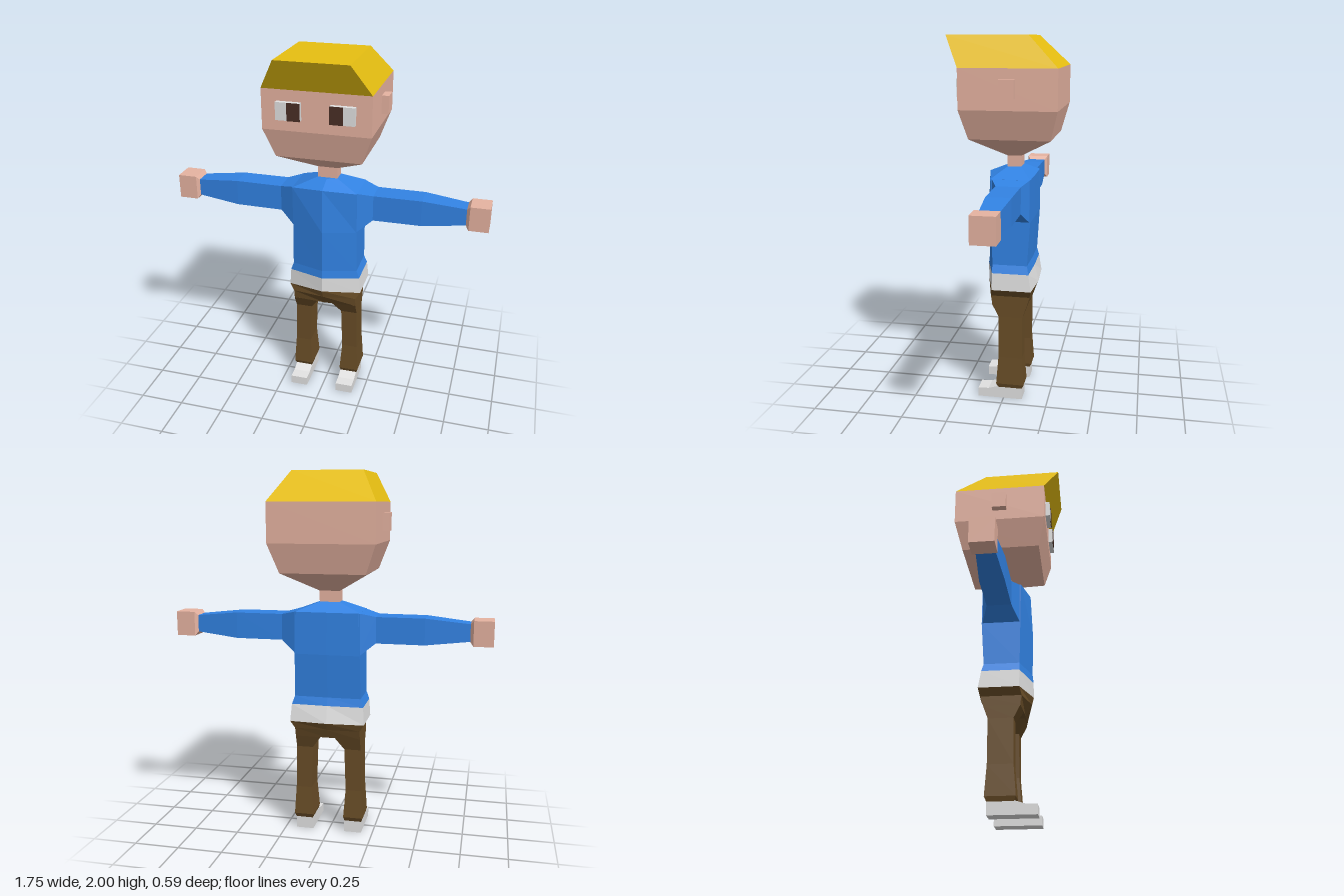
import * as THREE from 'three';

const mat = (name, color) => {
  const m = new THREE.MeshStandardMaterial({ color });
  m.name = name;
  return m;
};

// Closed faceted solid through rings of [x, y, z] points, always facing outwards
function loft(rings) {
  const tris = [];
  const n = rings[0].length;
  for (let r = 0; r < rings.length - 1; r++) {
    for (let i = 0; i < n; i++) {
      const j = (i + 1) % n;
      const a = rings[r][i], b = rings[r][j], c = rings[r + 1][j], d = rings[r + 1][i];
      tris.push([a, b, c], [a, c, d]);
    }
  }
  const first = rings[0], last = rings[rings.length - 1];
  for (let i = 1; i < n - 1; i++) {
    tris.push([first[0], first[i + 1], first[i]], [last[0], last[i], last[i + 1]]);
  }
  let volume = 0;
  for (const [a, b, c] of tris) {
    volume += new THREE.Vector3(...a).dot(new THREE.Vector3(...b).cross(new THREE.Vector3(...c)));
  }
  if (volume < 0) tris.forEach((t) => t.reverse());
  const g = new THREE.BufferGeometry();
  g.setAttribute('position', new THREE.Float32BufferAttribute(tris.flat(2), 3));
  g.computeVertexNormals();
  return g;
}

// Horizontal rectangle, x0..x1 and z0..z1
const rect = (y, x0, x1, z0, z1) => [[x0, y, z0], [x1, y, z0], [x1, y, z1], [x0, y, z1]];
// Rectangle across an arm at a given x
const armRect = (x, y0, y1, z0, z1) => [[x, y0, z0], [x, y1, z0], [x, y1, z1], [x, y0, z1]];
// Six-sided body ring, creased along the middle of the chest and back
const bodyRing = (y, w, front, back, midY, midFront, midBack) => [
  [0, midY, midFront], [w, y, front], [w, y, back],
  [0, y, midBack], [-w, y, back], [-w, y, front],
];
const mirror = (rings, s) => rings.map((r) => r.map(([x, y, z]) => [x * s, y, z]));

export function createModel() {
  const model = new THREE.Group();
  model.name = 'figure';
  const skin = mat('skin', 0xe6b3a1);
  const hair = mat('hair yellow', 0xeec512);
  const blue = mat('shirt blue', 0x3283e4);
  const brown = mat('trouser brown', 0x694d27);
  const white = mat('off white', 0xe2e2e2);
  const dark = mat('pupil brown', 0x4a2e25);

  const add = (name, geometry, material) => {
    const mesh = new THREE.Mesh(geometry, material);
    mesh.name = name;
    model.add(mesh);
    return mesh;
  };
  const box = (name, material, x0, x1, y0, y1, z0, z1) => {
    const mesh = add(name, new THREE.BoxGeometry(x1 - x0, y1 - y0, z1 - z0), material);
    mesh.position.set((x0 + x1) / 2, (y0 + y1) / 2, (z0 + z1) / 2);
  };
  // Box given for the left side, placed on side s
  const sideBox = (name, material, s, x0, x1, ...rest) =>
    box(name, material, Math.min(s * x0, s * x1), Math.max(s * x0, s * x1), ...rest);

  // Head, hair and neck
  add('head', loft([
    rect(1.37, -0.055, 0.055, -0.075, 0),
    rect(1.475, -0.228, 0.228, -0.255, 0.175),
    rect(1.63, -0.283, 0.283, -0.295, 0.215),
    rect(1.84, -0.283, 0.283, -0.295, 0.215),
  ]), skin);
  add('hair', loft([
    rect(1.84, -0.283, 0.283, -0.295, 0.215),
    rect(2, -0.19, 0.19, -0.133, 0.295),
  ]), hair);
  box('neck', skin, -0.055, 0.055, 1.29, 1.38, -0.075, 0);

  // Shirt body, white hem and hips
  const hemTop = bodyRing(0.745, 0.2, 0.06, -0.14, 0.745, 0.118, -0.145);
  const hemBottom = bodyRing(0.65, 0.207, 0.06, -0.155, 0.66, 0.118, -0.168);
  add('shirt', loft([
    bodyRing(1.31, 0.055, 0, -0.075, 1.31, 0.02, -0.075),
    bodyRing(1.26, 0.18, 0.07, -0.143, 1.275, 0.107, -0.145),
    bodyRing(1.03, 0.18, 0.065, -0.145, 1.03, 0.118, -0.148),
    bodyRing(0.79, 0.184, 0.06, -0.13, 0.79, 0.113, -0.133),
    hemTop,
  ]), blue);
  add('shirtHem', loft([hemTop, hemBottom]), white);
  add('hips', loft([
    hemBottom,
    bodyRing(0.61, 0.182, 0.07, -0.145, 0.62, 0.108, -0.15),
    bodyRing(0.56, 0.182, 0.062, -0.13, 0.56, 0.072, -0.132),
  ]), brown);

  for (const s of [1, -1]) {
    const side = s > 0 ? 'left' : 'right';

    // Ear and eye
    sideBox(side + 'Ear', skin, s, 0.27, 0.32, 1.69, 1.785, -0.08, 0);
    sideBox(side + 'Eye', white, s, 0.075, 0.203, 1.69, 1.782, 0.2, 0.24);
    sideBox(side + 'Pupil', dark, s, 0.075, 0.143, 1.69, 1.782, 0.238, 0.243);

    // Sleeve widening into the shoulder, and hand
    add(side + 'Sleeve', loft(mirror([
      armRect(0.17, 1.025, 1.262, -0.144, 0.066),
      armRect(0.26, 1.097, 1.24, -0.108, 0.025),
      armRect(0.52, 1.097, 1.24, -0.108, 0.022),
      armRect(0.76, 1.123, 1.215, -0.09, 0.005),
    ], s)), blue);
    add(side + 'Hand', loft(mirror([
      armRect(0.755, 1.123, 1.215, -0.09, 0.005),
      armRect(0.772, 1.1, 1.235, -0.105, 0.018),
      armRect(0.877, 1.1, 1.235, -0.105, 0.018),
    ], s)), skin);

    // Trouser leg with turned-in cuff
    add(side + 'Leg', loft(mirror([
      rect(0.56, 0.04, 0.182, -0.13, 0.064),
      rect(0.49, 0.09, 0.182, -0.105, 0.028),
      rect(0.25, 0.098, 0.187, -0.105, 0.028),
      rect(0.09, 0.086, 0.196, -0.116, 0.04),
      rect(0.066, 0.092, 0.188, -0.105, 0.03),
    ], s)), brown);

    // Shoe with a low toe
    add(side + 'Shoe', loft(mirror([0.09, 0.187].map((x) => [
      [x, 0, -0.105], [x, 0, 0.145], [x, 0.05, 0.145],
      [x, 0.053, 0.085], [x, 0.07, 0.03], [x, 0.07, -0.105],
    ]), s)), white);
  }
  return model;
}
